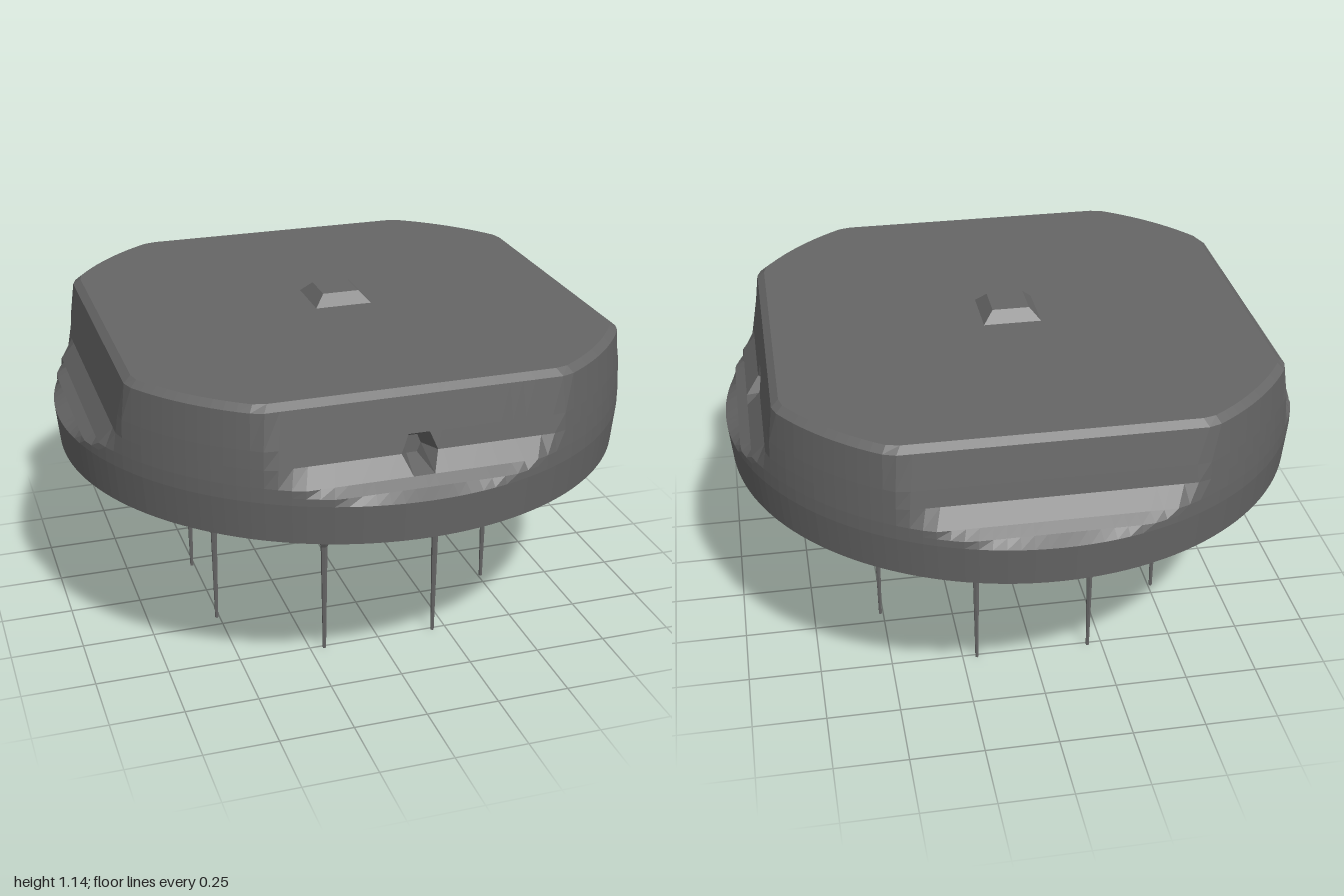
import * as THREE from 'three';

const material = new THREE.MeshStandardMaterial({ color: 0x666666, flatShading: true });

// Body levels, bottom to top: height, round radius, half-size of the square that trims it
const LEVELS = [
  [0.52, 0, 2], [0.52, 0.55, 2], [0.55, 0.63, 2], [0.585, 0.69, 2], [0.61, 0.74, 2],
  [0.625, 0.94, 2], [0.645, 0.985, 2], [0.78, 0.998, 1], [0.805, 0.998, 0.955],
  [0.83, 0.998, 0.92], [0.89, 0.996, 0.875], [0.95, 0.993, 0.865],
  [1.07, 0.985, 0.845], [1.09, 0.96, 0.82], [1.1, 0, 2],
];
const N = 144;
const HOLE_WIDTH = { 9: 0.035, 10: 0.06, 11: 0.035 }; // half-width of the socket mouth per level
const SOCKETS = [0, N / 4]; // columns at the front and at +x

function bodyPoint(level, column) {
  const [y, R, S] = LEVELS[level];
  let a = (column / N) * Math.PI * 2;
  // Columns beside a socket bend to follow its hexagonal mouth
  for (const s of SOCKETS) {
    const d = column - s;
    if (Math.abs(d) === 1 && HOLE_WIDTH[level]) a = (s / N) * Math.PI * 2 + d * Math.atan(HOLE_WIDTH[level] / S);
  }
  const c = Math.max(Math.abs(Math.cos(a)), Math.abs(Math.sin(a)));
  const r = Math.min(R, S / c);
  return new THREE.Vector3(r * Math.sin(a), y, r * Math.cos(a));
}

function meshFromTriangles(points, name) {
  const geometry = new THREE.BufferGeometry().setFromPoints(points);
  geometry.computeVertexNormals();
  const mesh = new THREE.Mesh(geometry, material);
  mesh.name = name;
  return mesh;
}

// Round disc with four flattened upper sides and a stepped underside
function makeBody() {
  const tris = [];
  const isHole = (i, j) => (i === 9 || i === 10) && SOCKETS.some((s) => (j - s + N) % N === 0 || (j - s + 1 + N) % N === 0);
  for (let i = 0; i < LEVELS.length - 1; i++) {
    for (let j = 0; j < N; j++) {
      if (isHole(i, j)) continue;
      // The column before the front one is written as -1 so both sides bend alike
      const l = j === N - 1 ? -1 : j === N - 2 ? -2 : j;
      const a = bodyPoint(i, l), b = bodyPoint(i, l + 1);
      const c = bodyPoint(i + 1, l + 1), d = bodyPoint(i + 1, l);
      if (LEVELS[i][1] > 0) tris.push(a, b, c);
      if (LEVELS[i + 1][1] > 0) tris.push(a, c, d);
      else continue;
      if (LEVELS[i][1] === 0) continue;
    }
  }
  return meshFromTriangles(tris, 'body');
}

// Tapered recess behind each hexagonal mouth
function makeSocket(column) {
  const rim = [[9, -1], [9, 0], [9, 1], [10, 1], [11, 1], [11, 0], [11, -1], [10, -1]]
    .map(([level, d]) => bodyPoint(level, column + d));
  const a = (column / N) * Math.PI * 2;
  const out = new THREE.Vector3(Math.sin(a), 0, Math.cos(a));
  const end = out.clone().multiplyScalar(0.8).setY(0.88);
  const inner = rim.map((p) => {
    const q = p.clone().sub(end);
    q.addScaledVector(out, -q.dot(out)); // flatten onto the back plane
    return q.multiplyScalar(0.5).add(end);
  });
  const tris = [];
  rim.forEach((p, i) => {
    const k = (i + 1) % rim.length;
    tris.push(p, rim[k], inner[k], p, inner[k], inner[i], inner[i], inner[k], end);
  });
  return meshFromTriangles(tris, 'socket');
}

export function createModel() {
  const model = new THREE.Group();
  model.name = 'component';
  model.add(makeBody());
  SOCKETS.forEach((s) => model.add(makeSocket(s)));

  // Low square stud on the top
  const stud = new THREE.Mesh(new THREE.CylinderGeometry(0.09, 0.15, 0.045, 4).rotateY(Math.PI / 4), material);
  stud.name = 'topStud';
  stud.position.set(0, 1.114, 0);
  model.add(stud);

  // Eight thin pins with flared roots, two along each side
  const profile = [[0, 0], [0.006, 0], [0.012, 0.4], [0.034, 0.45], [0.065, 0.5], [0.11, 0.56]]
    .map(([r, y]) => new THREE.Vector2(r, y));
  const pinGeometry = new THREE.LatheGeometry(profile, 6);
  for (let side = 0; side < 4; side++) {
    for (const offset of [-0.2, 0.2]) {
      const pin = new THREE.Mesh(pinGeometry, material);
      pin.name = 'pin';
      pin.position.set(offset, 0, 0.51).applyAxisAngle(new THREE.Vector3(0, 1, 0), (side * Math.PI) / 2);
      model.add(pin);
    }
  }
  return model;
}
